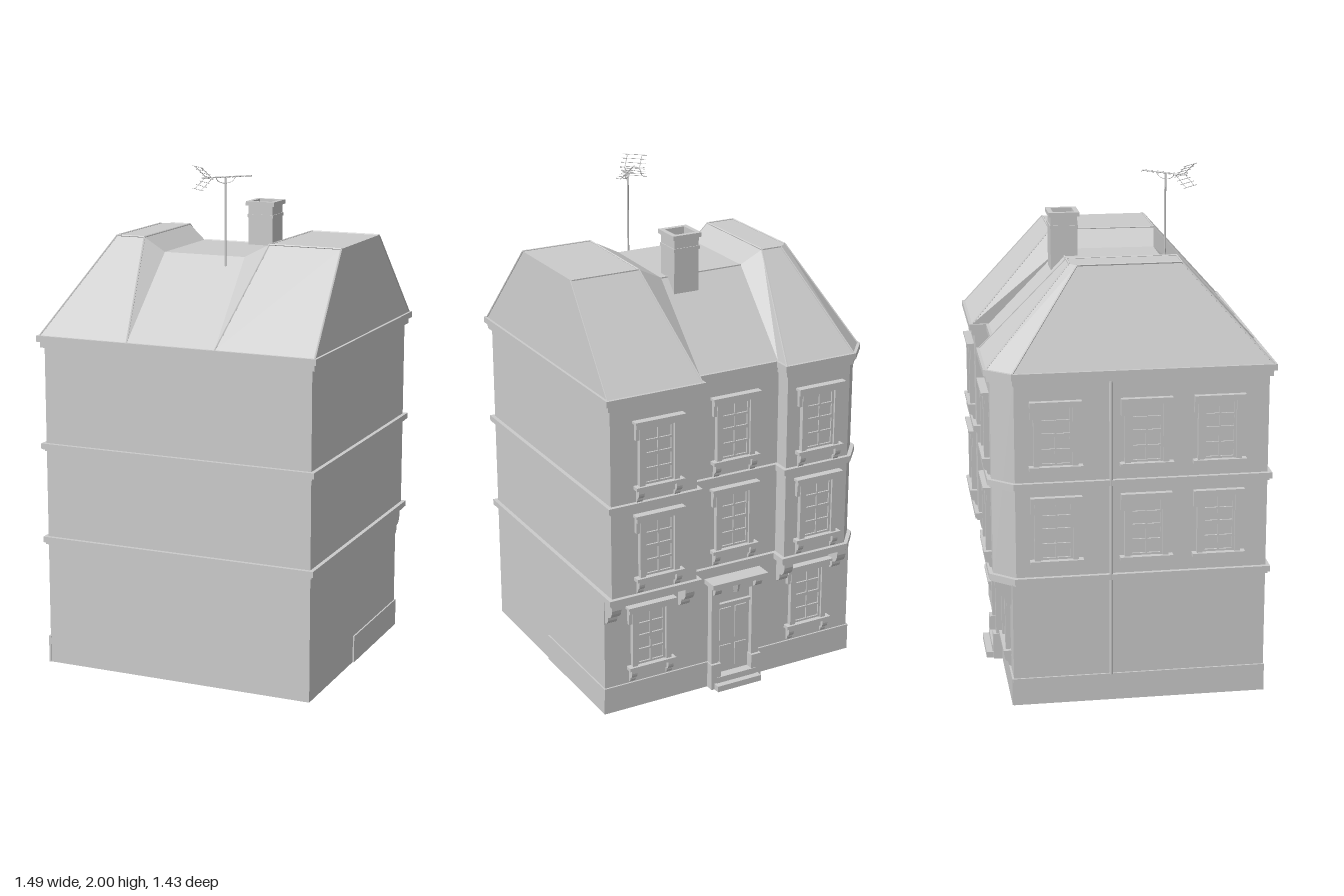
import * as THREE from 'three';

const MAT = new THREE.MeshStandardMaterial({ color: 0xcccccc, flatShading: true, side: THREE.DoubleSide });
const BACK = -0.475; // plane of the entrance wall at ground level

function add(parent, name, geo, x = 0, y = 0, z = 0) {
  const m = new THREE.Mesh(geo, MAT);
  m.name = name;
  m.position.set(x, y, z);
  parent.add(m);
  return m;
}
const box = (parent, name, w, h, d, x, y, z) => add(parent, name, new THREE.BoxGeometry(w, h, d), x, y, z);

// Round bar between two points
function bar(parent, name, a, b, r, sides = 5) {
  const p = new THREE.Vector3(...a), dir = new THREE.Vector3(...b).sub(p);
  const m = add(parent, name, new THREE.CylinderGeometry(r, r, dir.length(), sides));
  m.position.copy(p).addScaledVector(dir, 0.5);
  m.quaternion.setFromUnitVectors(new THREE.Vector3(0, 1, 0), dir.normalize());
}

// Faceted surface from corner loops, each fanned into triangles
function facets(loops) {
  const pos = [];
  for (const l of loops)
    for (let i = 1; i < l.length - 1; i++) pos.push(...l[0], ...l[i], ...l[i + 1]);
  const g = new THREE.BufferGeometry();
  g.setAttribute('position', new THREE.Float32BufferAttribute(pos, 3));
  g.computeVertexNormals();
  return g;
}

// Plan of the upper floors, grown outward by d: two bays, a recess and a cut corner
const plan = d => [
  [-0.57 - d, 0.51 + d], [0.548 + d, 0.51 + d], [0.548 + d, -0.543 - d], [0.18 - d, -0.543 - d],
  [0.18 - d, BACK - d], [-0.217 + d, BACK - d], [-0.217 + d, -0.543 - d],
  [-0.5 - 0.41 * d, -0.543 - d], [-0.57 - d, -0.46 - 0.41 * d],
];
const groundPlan = [[-0.57, 0.51], [0.548, 0.51], [0.548, BACK], [-0.57, BACK]];

// Open vertical walls along a plan
const walls = (pts, y0, y1) => facets(pts.map((p, i) => {
  const q = pts[(i + 1) % pts.length];
  return [[p[0], y0, p[1]], [q[0], y0, q[1]], [q[0], y1, q[1]], [p[0], y1, p[1]]];
}));

// Horizontal ring around the house
function ring(parent, name, d, y0, y1) {
  const v = (x, z) => new THREE.Vector2(x, -z);
  const s = new THREE.Shape(plan(d).map(p => v(...p)));
  s.holes.push(new THREE.Path([v(-0.55, 0.49), v(-0.55, -0.44), v(0.53, -0.44), v(0.53, 0.49)]));
  const g = new THREE.ExtrudeGeometry(s, { depth: y1 - y0, bevelEnabled: false });
  add(parent, name, g.rotateX(-Math.PI / 2), 0, y0, 0);
}

// Scrolled bracket, its back on z = 0 and its top at y = 0
function bracket(parent, x, y, w, h, d) {
  const s = new THREE.Shape();
  s.moveTo(0, 0);
  s.lineTo(d, 0);
  s.lineTo(d, -h * 0.25);
  s.quadraticCurveTo(d * 0.95, -h * 0.6, d * 0.45, -h * 0.65);
  s.quadraticCurveTo(d * 0.45, -h, 0, -h);
  const g = new THREE.ExtrudeGeometry(s, { depth: w, bevelEnabled: false, curveSegments: 4 });
  add(parent, 'bracket', g.translate(0, 0, -w / 2).rotateY(-Math.PI / 2), x, y, 0);
}

// Sash window facing +z, glass bottom at y = 0
function sashWindow(parent, x, y, z, turn, fancy) {
  const g = new THREE.Group(), w = 0.125, h = 0.23;
  g.name = 'window';
  g.position.set(x, y, z);
  g.rotation.y = turn;
  parent.add(g);
  box(g, 'glass', w, h, 0.004, 0, h / 2, 0.002);
  for (const s of [-1, 1]) {
    box(g, 'sashStile', 0.009, h, 0.01, s * (w / 2 - 0.0045), h / 2, 0.006);
    box(g, 'jamb', 0.022, h, 0.02, s * (w / 2 + 0.011), h / 2, 0.01);
    box(g, 'jambEar', 0.014, 0.05, 0.016, s * (w / 2 + 0.029), h - 0.02, 0.008);
  }
  box(g, 'glazingBar', 0.007, h, 0.008, 0, h / 2, 0.006);
  for (const t of [0.02, 0.27, 0.52, 0.76, 0.98])
    box(g, 'sashRail', w, t === 0.52 ? 0.014 : 0.008, 0.009, 0, h * t, 0.006);
  box(g, 'lintel', w + 0.072, 0.022, 0.022, 0, h + 0.011, 0.011);
  box(g, 'sill', w + 0.08, 0.014, 0.03, 0, -0.007, 0.015);
  if (!fancy) return;
  box(g, 'hoodMould', w + 0.086, 0.01, 0.03, 0, h + 0.026, 0.015);
  box(g, 'apron', w + 0.02, 0.03, 0.012, 0, -0.029, 0.006);
  for (const s of [-1, 1]) bracket(g, s * (w / 2 + 0.018), -0.014, 0.024, 0.055, 0.026);
}

// Entrance facing +z with steps, panelled door, pilasters and hood
function entrance(parent) {
  const g = new THREE.Group();
  g.name = 'entrance';
  g.position.set(-0.02, 0, BACK);
  g.rotation.y = Math.PI;
  parent.add(g);
  box(g, 'lowerStep', 0.2, 0.025, 0.07, 0, 0.0125, 0.035);
  box(g, 'upperStep', 0.18, 0.025, 0.045, 0, 0.0375, 0.0225);
  box(g, 'door', 0.15, 0.31, 0.008, 0, 0.205, 0.004);
  box(g, 'transom', 0.15, 0.012, 0.02, 0, 0.355, 0.01);
  box(g, 'fanlight', 0.15, 0.055, 0.006, 0, 0.388, 0.003);
  for (const s of [-1, 1]) {
    box(g, 'lowerPanel', 0.052, 0.1, 0.006, s * 0.035, 0.12, 0.01);
    box(g, 'upperPanel', 0.052, 0.14, 0.006, s * 0.035, 0.265, 0.01);
    box(g, 'pilaster', 0.034, 0.42, 0.03, s * 0.092, 0.21, 0.015);
    box(g, 'pilasterBase', 0.044, 0.11, 0.042, s * 0.092, 0.055, 0.021);
    bracket(g, s * 0.092, 0.46, 0.03, 0.07, 0.055);
  }
  box(g, 'doorHead', 0.22, 0.03, 0.034, 0, 0.43, 0.017);
  box(g, 'hood', 0.25, 0.02, 0.07, 0, 0.468, 0.035);
  add(g, 'keystone', new THREE.CylinderGeometry(0.02, 0.012, 0.045, 6), 0, 0.432, 0.03);
}

function roof(parent) {
  const E = 1.34, T = 1.702, M = 1.645;
  const [A, B, C, D, N1, N2, D2, CF, CG] = plan(0.014).map(([x, z]) => [x, E, z]);
  const f1 = [-0.206, E, 0.524], f2 = [0.16, E, 0.524];
  const p = [[-0.405, T, 0.2], [-0.285, T, 0.2], [-0.285, T, -0.225], [-0.37, T, -0.225], [-0.405, T, -0.2]];
  const m = [[-0.206, M, 0.18], [0.135, M, 0.18], [0.147, M, -0.197], [-0.206, M, -0.197]];
  const q = [[0.247, T, 0.2], [0.54, T, 0.2], [0.54, T, -0.225], [0.257, T, -0.225]];
  add(parent, 'roof', facets([
    [A, f1, p[1], p[0]], [f1, f2, m[1], m[0]], [f2, B, q[1], q[0]], [B, C, q[2], q[1]],
    [C, D, q[3], q[2]], [D, N1, m[2], q[3]], [N1, N2, m[3], m[2]], [N2, D2, p[2], m[3]],
    [D2, CF, p[3], p[2]], [CF, CG, p[4], p[3]], [CG, A, p[0], p[4]],
    [p[1], m[0], m[3], p[2]], [f1, m[0], p[1]], [m[1], q[0], q[3], m[2]], [f2, q[0], m[1]],
    p, m, q,
  ]));
  // Ridge and hip rolls
  const rolls = [[A, p[0]], [CG, p[4]], [CF, p[3]], [f1, p[1]], [f2, q[0]], [D2, p[2]], [D, q[3]], [B, q[1]], [C, q[2]],
    [p[0], p[4]], [p[1], p[2]], [p[0], p[1]], [p[2], p[3]], [q[0], q[3]], [q[0], q[1]], [q[2], q[3]], [m[2], m[3]]];
  for (const [a, b] of rolls) bar(parent, 'ridgeRoll', a, b, 0.004);
}

function chimney(parent) {
  const g = new THREE.Group();
  g.name = 'chimney';
  g.position.set(0.065, 0, -0.197);
  parent.add(g);
  const tube = (name, w, y0, y1) => {
    const sq = r => [[-r, -r], [r, -r], [r, r], [-r, r]].map(c => new THREE.Vector2(...c));
    const s = new THREE.Shape(sq(w / 2));
    s.holes.push(new THREE.Path(sq(0.042)));
    const e = new THREE.ExtrudeGeometry(s, { depth: y1 - y0, bevelEnabled: false });
    add(g, name, e.rotateX(-Math.PI / 2), 0, y0, 0);
  };
  tube('stack', 0.106, 1.56, 1.805);
  tube('collar', 0.112, 1.755, 1.768);
  tube('cap', 0.122, 1.803, 1.82);
  box(g, 'flue', 0.086, 0.01, 0.086, 0, 1.72, 0);
}

// Aerial: mast, boom, cross rods and a tilted reflector pair
function aerial(parent) {
  const g = new THREE.Group();
  g.name = 'aerial';
  g.position.set(0.071, 0, 0.216);
  g.rotation.y = THREE.MathUtils.degToRad(22 + 26);
  parent.add(g);
  const Y = 1.955;
  bar(g, 'mast', [0, 1.6, 0], [0, Y, 0], 0.004, 6);
  bar(g, 'boom', [-0.1, Y, 0], [0.11, Y, 0], 0.0025);
  for (let i = 0; i < 6; i++) {
    const x = 0.1 - i * 0.026;
    bar(g, 'director', [x, Y, -0.022], [x, Y, 0.022], 0.0013, 4);
  }
  for (const s of [-1, 1]) {
    for (const z of [-0.03, 0.03])
      bar(g, 'reflectorStay', [-0.07, Y, z], [-0.115, Y + s * 0.043, z], 0.0015, 4);
    for (let i = 0; i < 4; i++) {
      const x = -0.073 - i * 0.014, y = Y + s * (0.003 + i * 0.0133);
      bar(g, 'reflectorRod', [x, y, -0.05], [x, y, 0.05], 0.0013, 4);
    }
  }
  const arc = new THREE.TorusGeometry(0.04, 0.002, 4, 10, Math.PI).scale(1, 0.6, 1).rotateX(Math.PI);
  add(g, 'boomBrace', arc, 0, Y, 0);
}

export function createModel() {
  const model = new THREE.Group(), house = new THREE.Group();
  model.name = 'townHouse';
  house.name = 'house';
  house.rotation.y = -THREE.MathUtils.degToRad(22);
  model.add(house);

  add(house, 'groundFloorWalls', walls(groundPlan, 0, 0.51));
  add(house, 'upperWalls', walls(plan(0), 0.5, 1.33));
  ring(house, 'lowerBandFillet', 0.008, 0.496, 0.508);
  ring(house, 'lowerBand', 0.016, 0.505, 0.528);
  ring(house, 'upperBandFillet', 0.006, 0.878, 0.89);
  ring(house, 'upperBand', 0.016, 0.887, 0.91);
  ring(house, 'corniceMoulding', 0.013, 1.294, 1.32);
  ring(house, 'cornice', 0.024, 1.318, 1.342);

  // Plinth along the entrance wall and both sides
  for (const [x0, x1] of [[-0.575, -0.13], [0.09, 0.553]])
    box(house, 'backPlinth', x1 - x0, 0.11, 0.01, (x0 + x1) / 2, 0.055, BACK - 0.002);
  box(house, 'longPlinth', 0.01, 0.11, 0.99, -0.572, 0.055, 0.018);
  box(house, 'shortPlinth', 0.01, 0.11, 0.51, 0.549, 0.055, -0.225);

  // Entrance side: three windows on each upper floor, two beside the door
  for (const [x, z] of [[0.35, -0.543], [-0.02, BACK], [-0.36, -0.543]])
    for (const y of [0.6, 0.977]) sashWindow(house, x, y, z, Math.PI, true);
  for (const x of [0.35, -0.37]) sashWindow(house, x, 0.185, BACK, Math.PI, true);
  entrance(house);

  // Brackets carrying the bays
  const consoles = new THREE.Group();
  consoles.name = 'bayBrackets';
  consoles.position.z = BACK;
  consoles.rotation.y = Math.PI;
  house.add(consoles);
  for (const x of [0.525, 0.205, -0.245, -0.495]) bracket(consoles, -x, 0.497, 0.04, 0.1, 0.062);

  // Side wall windows and drainpipe
  for (const z of [-0.305, 0.04, 0.32])
    for (const y of [0.6, 0.977]) sashWindow(house, -0.57, y, z, -Math.PI / 2, false);
  bar(house, 'drainpipe', [-0.58, 0.11, -0.096], [-0.58, 1.3, -0.096], 0.007, 8);

  roof(house);
  chimney(house);
  aerial(house);
  return model;
}
